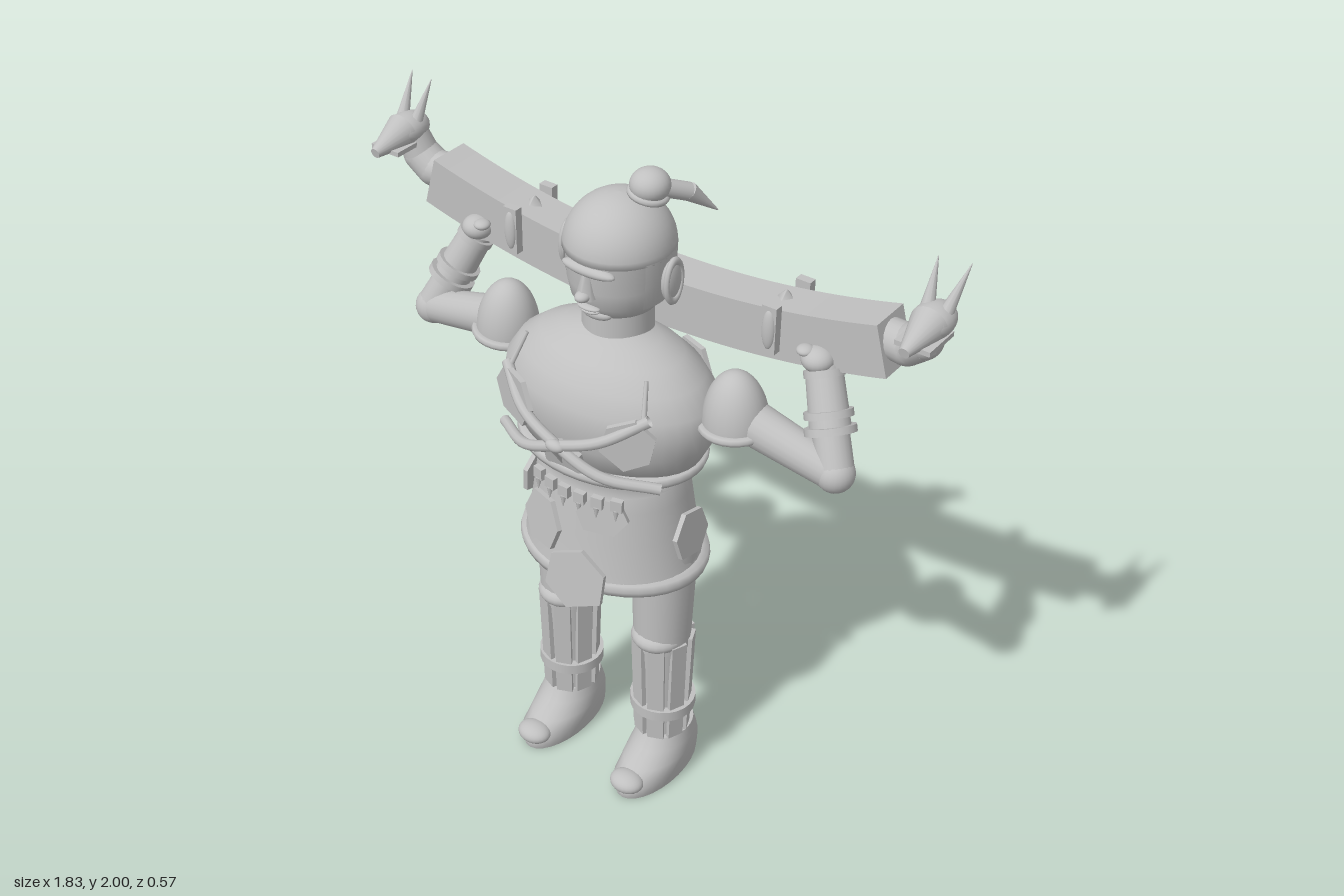
import * as THREE from 'three';

const grey = new THREE.MeshStandardMaterial({ color: 0xc0c0c0, side: THREE.DoubleSide });
grey.name = 'stone grey';
const V = (x, y, z) => new THREE.Vector3(x, y, z);

export function createModel() {
  const root = new THREE.Group();
  root.name = 'yokeBearer';

  const add = (name, geo, p = [0, 0, 0], scale = [1, 1, 1], rot = [0, 0, 0]) => {
    const m = new THREE.Mesh(geo, grey);
    m.name = name;
    m.position.set(...p);
    m.scale.set(...scale);
    m.rotation.set(...rot);
    root.add(m);
    return m;
  };
  const ball = (name, p, r, rot) => add(name, new THREE.SphereGeometry(1, 24, 16), p, r, rot);
  const box = (name, p, size, rot) => add(name, new THREE.BoxGeometry(...size), p, [1, 1, 1], rot);
  const lathe = (name, pts, zScale, z, start = 0, len = Math.PI * 2) =>
    add(name, new THREE.LatheGeometry(pts.map(q => new THREE.Vector2(...q)), 40, start, len), [0, 0, z], [1, 1, zScale]);
  const tube = (name, pts, r) =>
    add(name, new THREE.TubeGeometry(new THREE.CatmullRomCurve3(pts.map(q => V(...q))), 24, r, 10));
  // tapered cylinder between two points
  const limb = (name, a, b, r0, r1, sides = 20) => {
    const A = V(...a), B = V(...b), d = B.clone().sub(A);
    const m = add(name, new THREE.CylinderGeometry(r1, r0, d.length(), sides));
    m.position.copy(A).add(B).multiplyScalar(0.5);
    m.quaternion.setFromUnitVectors(V(0, 1, 0), d.normalize());
    return m;
  };
  // thin irregular plate lying on an oval body at angle a (0 = front)
  const patch = (name, a, y, r, zScale, z, w, h, roll = 0, pitch = 0) => {
    const s = new THREE.Shape([[-0.5, 0.1], [-0.15, 0.5], [0.35, 0.38], [0.5, -0.1], [0.2, -0.5], [-0.38, -0.38]]
      .map(q => new THREE.Vector2(q[0] * w, q[1] * h)));
    const g = new THREE.ExtrudeGeometry(s, { depth: 0.015, bevelEnabled: false });
    g.rotateZ(roll);
    const m = add(name, g, [r * Math.sin(a), y, zScale * r * Math.cos(a) + z]);
    m.rotation.set(pitch, Math.atan2(Math.sin(a) * zScale, Math.cos(a)), 0, 'YXZ');
  };

  // torso, waist and skirt
  lathe('torso', [[0.09, 1.55], [0.15, 1.535], [0.22, 1.505], [0.285, 1.455], [0.325, 1.395], [0.335, 1.34],
    [0.32, 1.27], [0.285, 1.2], [0.22, 1.17]].reverse(), 0.66, 0);
  lathe('chestBand', [[0.26, 1.165], [0.288, 1.167], [0.293, 1.18], [0.288, 1.195], [0.26, 1.197]], 0.76, -0.005);
  lathe('waist', [[0.225, 1.1], [0.215, 1.13], [0.235, 1.18]], 0.82, -0.005);
  lathe('skirt', [[0.28, 0.8], [0.268, 0.85], [0.25, 0.95], [0.235, 1.05], [0.222, 1.12], [0.21, 1.125]], 0.82, -0.01);
  lathe('skirtHem', [[0.27, 0.785], [0.292, 0.788], [0.297, 0.805], [0.292, 0.825], [0.27, 0.83]], 0.8, -0.015);

  // patches sewn to the skirt and the torso
  [[-0.42, 0.95, 0.25, 0.17, 0.17, 0.3], [0.42, 1.045, 0.237, 0.15, 0.12, 0.1], [0.15, 0.83, 0.287, 0.2, 0.19, 0.6],
    [1.57, 0.95, 0.262, 0.15, 0.15, 0], [-1.57, 0.95, 0.262, 0.15, 0.16, 0.5],
    [-2.45, 1.02, 0.24, 0.17, 0.13, 0.2], [-2.85, 0.83, 0.285, 0.15, 0.18, 0.6]]
    .forEach(([a, y, r, w, h, roll]) => patch('skirtPatch', a, y, r, 0.82, -0.01, w, h, roll, -0.12));
  [[-0.62, 1.34, 0.327, 0.2, 0.16, 0.2], [0.62, 1.335, 0.327, 0.15, 0.16, -0.5], [0, 1.235, 0.315, 0.15, 0.13, 0.7],
    [2.75, 1.37, 0.33, 0.15, 0.14, 0.3], [-2.95, 1.32, 0.333, 0.14, 0.1, 0], [-2.5, 1.33, 0.333, 0.13, 0.13, 0.8]]
    .forEach(([a, y, r, w, h, roll]) => patch('torsoPatch', a, y, r, 0.66, 0.002, w, h, roll, y < 1.3 ? 0.3 : 0));

  // crossed chest ropes with pendant
  for (const s of [1, -1]) {
    tube('chestRope', [[-0.24 * s, 1.415, 0.155], [-0.13 * s, 1.34, 0.225], [0, 1.285, 0.245],
      [0.13 * s, 1.225, 0.225], [0.27 * s, 1.195, 0.14]], 0.016);
    limb('ropeEnd', [-0.225 * s, 1.41, 0.16], [-0.2 * s, 1.505, 0.115], 0.008, 0.006, 8);
  }
  ball('pendantKnot', [0, 1.29, 0.255], [0.03, 0.018, 0.018]);
  limb('pendantFang', [0, 1.285, 0.255], [0, 1.215, 0.225], 0.016, 0.001, 10);

  // belt tokens
  for (let i = -2; i <= 3; i++) {
    const x = i * 0.053 - 0.018, z = 0.195 - x * x * 1.6;
    box('beltToken', [x, 1.095, z], [0.034, 0.036, 0.018], [0, x * 1.8, 0]);
    limb('beltFang', [x, 1.08, z + 0.004], [x, 1.045, z + 0.008], 0.01, 0.001, 8);
  }

  // head and neck
  lathe('neck', [[0.1, 1.52], [0.098, 1.62]], 1, -0.03);
  lathe('face', [[0, 1.6], [0.07, 1.602], [0.105, 1.615], [0.128, 1.65], [0.138, 1.7], [0.143, 1.79]], 1.05, -0.035);
  const dome = [];
  for (let i = 0; i <= 12; i++) {
    const t = i / 12 * Math.PI / 2;
    dome.push([0.152 * Math.cos(t), 1.785 + 0.148 * Math.sin(t)]);
  }
  lathe('hairCap', [[0.135, 1.778], ...dome], 1.03, -0.037);
  lathe('backHair', [[0.12, 1.635], [0.138, 1.65], [0.15, 1.72], [0.152, 1.79]], 1.03, -0.037, 1.1, Math.PI * 2 - 2.2);
  ball('brow', [0, 1.765, 0.1], [0.085, 0.018, 0.025]);
  limb('nose', [0, 1.685, 0.108], [0, 1.775, 0.105], 0.03, 0.01, 6);
  ball('noseTip', [0, 1.695, 0.125], [0.021, 0.015, 0.024]);
  ball('upperLip', [0, 1.652, 0.1], [0.036, 0.008, 0.018]);
  ball('lowerLip', [0, 1.639, 0.094], [0.03, 0.008, 0.018]);
  ball('chin', [0, 1.62, 0.065], [0.05, 0.02, 0.025]);
  ball('topknot', [0.065, 1.955, -0.08], [0.055, 0.046, 0.055]);
  add('topknotTie', new THREE.TorusGeometry(0.048, 0.01, 8, 24), [0.06, 1.928, -0.078], [1, 1, 1], [Math.PI / 2 - 0.1, -0.2, 0]);
  limb('topknotTail', [0.085, 1.945, -0.1], [0.125, 1.915, -0.17], 0.025, 0.025);
  limb('topknotTip', [0.125, 1.915, -0.17], [0.17, 1.845, -0.24], 0.026, 0.002);

  // curved carrying beam
  const beam = new THREE.Shape();
  beam.absarc(0, 4.405, 2.9, -Math.PI / 2 - 0.268, -Math.PI / 2 + 0.268, false);
  beam.absarc(0, 4.405, 2.75, -Math.PI / 2 + 0.268, -Math.PI / 2 - 0.268, true);
  add('beam', new THREE.ExtrudeGeometry(beam, { depth: 0.13, bevelEnabled: false, curveSegments: 28 }), [0, 0, -0.26]);

  for (const s of [1, -1]) {
    // beam straps and pegs
    for (const [z, d] of [[-0.122, 1], [-0.268, -1]]) {
      box('beamStrap', [0.43 * s, 1.64, z + d * 0.008], [0.045, 0.14, 0.026]);
      ball('strapBulge', [0.43 * s, 1.64, z + d * 0.018], [0.02, 0.06, 0.014]);
    }
    limb('beamPeg', [0.42 * s, 1.68, -0.2], [0.42 * s, 1.71, -0.2], 0.03, 0.003, 4);

    // beast heads on the beam ends
    const neck = [[0.72, 1.69, -0.195, 0.052], [0.785, 1.685, -0.195, 0.055], [0.83, 1.72, -0.19, 0.053], [0.855, 1.79, -0.18, 0.046]];
    for (let i = 0; i < 3; i++) {
      const [a, b] = [neck[i], neck[i + 1]];
      limb('beastNeck', [a[0] * s, a[1], a[2]], [b[0] * s, b[1], b[2]], a[3], b[3]);
      ball('beastNeckJoint', [b[0] * s, b[1], b[2]], [b[3], b[3], b[3]]);
    }
    ball('beastHead', [0.86 * s, 1.80, -0.17], [0.055, 0.045, 0.075]);
    limb('beastSnout', [0.86 * s, 1.80, -0.15], [0.86 * s, 1.775, -0.03], 0.052, 0.015);
    box('beastJaw', [0.86 * s, 1.768, -0.13], [0.1, 0.014, 0.12]);
    limb('beastHorn', [0.835 * s, 1.82, -0.18], [0.82 * s, 1.935, -0.24], 0.02, 0.001, 10);
    limb('beastHorn', [0.885 * s, 1.82, -0.18], [0.905 * s, 1.935, -0.255], 0.02, 0.001, 10);

    // ears
    ball('ear', [0.165 * s, 1.725, -0.04], [0.018, 0.06, 0.04]);
    add('earring', new THREE.TorusGeometry(0.042, 0.009, 8, 24), [0.173 * s, 1.725, -0.04], [0.8, 1.4, 1], [0, Math.PI / 2, 0]);

    // arms
    add('pauldron', new THREE.SphereGeometry(1, 24, 10, 0, Math.PI * 2, 0, Math.PI / 2), [0.39 * s, 1.37, -0.03],
      [0.092, 0.16, 0.09], [0, 0, 0.06 * s]);
    add('pauldronRim', new THREE.TorusGeometry(0.092, 0.013, 8, 28), [0.39 * s, 1.368, -0.03], [1, 1, 1], [Math.PI / 2, 0.06 * s, 0]);
    limb('upperArm', [0.36 * s, 1.41, -0.03], [0.69 * s, 1.325, -0.05], 0.065, 0.05);
    ball('elbow', [0.69 * s, 1.325, -0.05], [0.054, 0.054, 0.054]);
    const e = V(0.69 * s, 1.325, -0.05), w = V(0.58 * s, 1.57, -0.14);
    limb('forearm', e.toArray(), w.toArray(), 0.052, 0.045);
    for (const [t, r] of [[0.37, 0.07], [0.52, 0.066], [0.9, 0.055]]) {
      limb('bracerRing', e.clone().lerp(w, t).toArray(), e.clone().lerp(w, t + 0.07).toArray(), r, r);
    }
    limb('bracer', e.clone().lerp(w, 0.38).toArray(), e.clone().lerp(w, 0.95).toArray(), 0.056, 0.05);
    ball('hand', [0.57 * s, 1.595, -0.125], [0.045, 0.035, 0.045]);
    ball('thumb', [0.54 * s, 1.618, -0.11], [0.024, 0.014, 0.025]);

    // legs with slatted shin guards
    const x = 0.175 * s;
    limb('thigh', [x, 0.5, -0.015], [x, 0.88, -0.02], 0.085, 0.098);
    ball('knee', [x, 0.535, 0.0], [0.082, 0.045, 0.085]);
    limb('shin', [x, 0.12, -0.03], [x, 0.53, -0.015], 0.07, 0.083);
    for (let i = 0; i < 8; i++) {
      const a = (i + 0.5) * Math.PI / 4, c = Math.cos(a), n = Math.sin(a);
      const slat = box('shinSlat', [x + n * 0.08, 0.345, -0.022 + c * 0.083], [0.05, 0.37, 0.014]);
      slat.rotation.set(0.03, a, 0, 'YXZ');
    }
    add('ankleBand', new THREE.CylinderGeometry(0.1, 0.1, 0.035, 24), [x, 0.262, -0.025]);

    // shoe shaped from stacked ovals: half width, back, front
    const rows = [[0.085, -0.17, 0.19], [0.09, -0.172, 0.2], [0.09, -0.165, 0.14], [0.085, -0.15, 0.085], [0.078, -0.135, 0.06]];
    const shoe = new THREE.CylinderGeometry(1, 1, 1, 28, 4), p = shoe.attributes.position;
    for (let i = 0; i < p.count; i++) {
      const k = Math.round((p.getY(i) + 0.5) * 4), [hw, b, f] = rows[k];
      p.setXYZ(i, p.getX(i) * hw, k * 0.04, (f + b) / 2 + p.getZ(i) * (f - b) / 2);
    }
    shoe.computeVertexNormals();
    add('shoe', shoe, [0.18 * s, 0, 0]);
    ball('toeCap', [0.18 * s, 0.05, 0.165], [0.055, 0.032, 0.045]);
  }
  return root;
}
